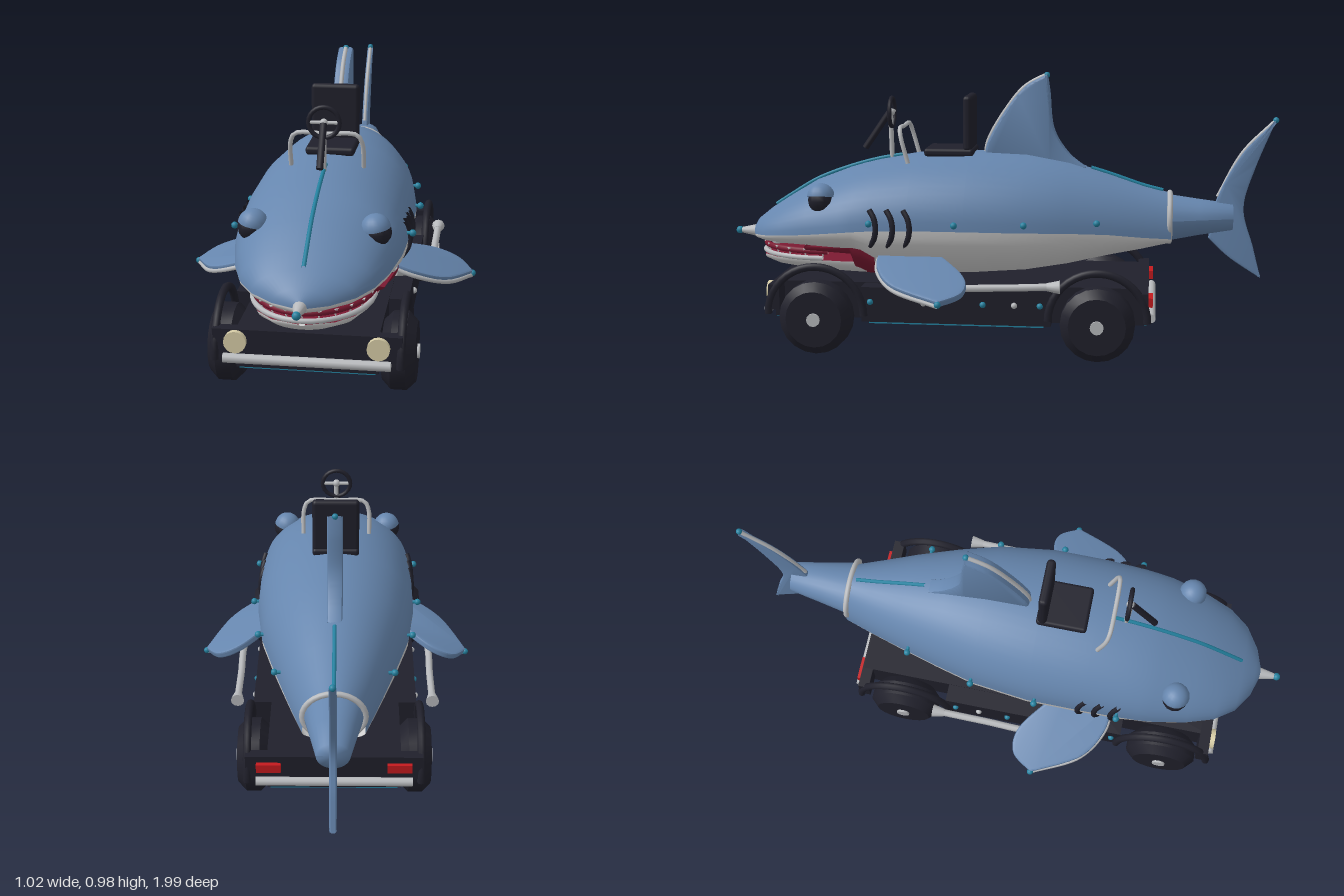
import * as THREE from 'three';
import { toCreasedNormals } from 'three/addons/utils/BufferGeometryUtils.js';
import { RoundedBoxGeometry } from 'three/addons/geometries/RoundedBoxGeometry.js';

const mat = (name, color) => {
  const m = new THREE.MeshStandardMaterial({ color, side: THREE.DoubleSide });
  m.name = name;
  return m;
};

// Body stations: z, half width, top, colour seam, bottom
const BODY = [
  [0.925, 0.012, 0.4, 0.38, 0.365], [0.9, 0.09, 0.435, 0.385, 0.36], [0.85, 0.165, 0.475, 0.395, 0.355],
  [0.78, 0.215, 0.52, 0.405, 0.35], [0.68, 0.25, 0.58, 0.415, 0.345], [0.55, 0.278, 0.63, 0.43, 0.335],
  [0.5, 0.283, 0.645, 0.435, 0.33], [0.44, 0.287, 0.66, 0.44, 0.25], [0.3, 0.291, 0.685, 0.445, 0.245],
  [0.1, 0.29, 0.695, 0.445, 0.25], [-0.1, 0.265, 0.687, 0.44, 0.265], [-0.25, 0.225, 0.66, 0.435, 0.29],
  [-0.4, 0.18, 0.615, 0.425, 0.325], [-0.52, 0.14, 0.575, 0.41, 0.35], [-0.62, 0.105, 0.55, 0.4, 0.375],
];
const JAW = [
  [0.88, 0.01, 0.315, 0.31, 0.305], [0.86, 0.1, 0.32, 0.315, 0.285], [0.8, 0.155, 0.32, 0.315, 0.27],
  [0.7, 0.19, 0.32, 0.315, 0.258], [0.55, 0.21, 0.32, 0.315, 0.25], [0.44, 0.215, 0.32, 0.315, 0.245],
];
const GUMS = [
  [0.685, 0.001, 0.37, 0.37, 0.36], [0.68, 0.236, 0.375, 0.37, 0.335], [0.51, 0.262, 0.38, 0.375, 0.322],
  [0.5, 0.262, 0.38, 0.375, 0.25], [0.47, 0.262, 0.38, 0.37, 0.243], [0.42, 0.255, 0.38, 0.34, 0.243],
];
const TAIL = [
  [-0.61, 0.1, 0.545, 0.462, 0.378], [-0.72, 0.078, 0.53, 0.465, 0.4],
  [-0.84, 0.055, 0.515, 0.468, 0.42], [-0.842, 0.001, 0.469, 0.468, 0.467],
];

// Skin through half or whole elliptical sections, front to back
function loft(stations, a0, a1, n = 24) {
  const pos = [], idx = [];
  stations.forEach(([z, w, top, mid, bottom], i) => {
    for (let j = 0; j <= n; j++) {
      const a = a0 + (a1 - a0) * j / n, s = Math.sin(a);
      pos.push(w * Math.cos(a), mid + s * (s > 0 ? top - mid : mid - bottom), z);
      if (i && j) {
        const d = i * (n + 1) + j, b = d - n - 1;
        idx.push(b - 1, d - 1, b, b, d - 1, d);
      }
    }
  });
  const g = new THREE.BufferGeometry();
  g.setAttribute('position', new THREE.Float32BufferAttribute(pos, 3));
  g.setIndex(idx);
  g.computeVertexNormals();
  return g;
}

// Body half width and top at a given z
function bodyAt(z) {
  const i = Math.max(1, BODY.findIndex(s => s[0] <= z)), a = BODY[i - 1], b = BODY[i];
  const t = (z - a[0]) / (b[0] - a[0]);
  return a.map((v, k) => v + (b[k] - v) * t);
}

export function createModel() {
  const blue = mat('skin blue', 0x6686ae), white = mat('belly white', 0xd2d2d2), silver = mat('silver', 0xb8babd);
  const black = mat('dark rubber', 0x20202b), red = mat('mouth red', 0x7c1a32), lamp = mat('tail lamp red', 0xc41a1e);
  const cream = mat('headlight cream', 0xd6cca6), teal = mat('teal trim', 0x2482a0);
  const model = new THREE.Group();
  const add = (name, geo, m, x = 0, y = 0, z = 0) => {
    const mesh = new THREE.Mesh(geo, m);
    mesh.name = name;
    mesh.position.set(x, y, z);
    model.add(mesh);
    return mesh;
  };
  const box = (name, m, w, h, d, x, y, z) => add(name, new THREE.BoxGeometry(w, h, d), m, x, y, z);
  const ball = (name, m, r, x, y, z) => add(name, new THREE.SphereGeometry(r, 12, 8), m, x, y, z);
  const tube = (name, m, r, pts) => add(name, new THREE.TubeGeometry(
    new THREE.CatmullRomCurve3(pts.map(p => new THREE.Vector3(...p))), 24, r, 8), m);
  const rod = (name, m, r, a, b) => {
    const p = new THREE.Vector3(...a), q = new THREE.Vector3(...b), d = q.clone().sub(p);
    const mesh = add(name, new THREE.CylinderGeometry(r, r, d.length(), 10), m);
    mesh.position.copy(p).add(q).multiplyScalar(0.5);
    mesh.quaternion.setFromUnitVectors(new THREE.Vector3(0, 1, 0), d.normalize());
  };
  // Rounded plate from smooth edge runs joined at sharp corners
  const plate = (runs, depth, bevel) => {
    const shape = new THREE.Shape();
    runs.forEach((run, i) => {
      const v = run.map(p => new THREE.Vector2(...p));
      if (!i) shape.moveTo(v[0].x, v[0].y);
      shape.splineThru(v.slice(1));
    });
    const g = new THREE.ExtrudeGeometry(shape, { depth, curveSegments: 8, bevelThickness: bevel, bevelSize: 0.008, bevelOffset: -0.008, bevelSegments: 2 });
    return toCreasedNormals(g.translate(0, 0, -depth / 2), 0.7);
  };

  // Body, mouth and tail stem
  const P = Math.PI;
  add('upperBody', loft(BODY, 0, P), blue);
  add('belly', loft(BODY, P, 2 * P), white);
  add('mouthLining', loft(GUMS, P, 2 * P), red);
  add('lowerJaw', loft(JAW, P, 2 * P), white);
  add('mouthFloor', loft(JAW, 0, P), red);
  add('tailStem', loft(TAIL, 0, 2 * P), blue);
  add('tailCollar', new THREE.TorusGeometry(0.09, 0.01, 8, 28), silver, 0, 0.463, -0.615).scale.set(1.15, 0.98, 1);

  // Lips and teeth
  const arc = (w, y, front, back) => Array.from({ length: 13 }, (_, i) => {
    const a = P * i / 12;
    return [w * Math.cos(a), y, back + (front - back) * Math.sin(a)];
  });
  tube('lowerLip', silver, 0.009, arc(0.2, 0.322, 0.88, 0.62));
  tube('upperGum', red, 0.011, arc(0.2, 0.347, 0.875, 0.6));
  arc(0.198, 0.34, 0.875, 0.62).forEach(([x, y, z]) => {
    add('upperTooth', new THREE.ConeGeometry(0.011, 0.03, 6).rotateX(P), white, x, y, z);
  });

  // Nose and spine trim
  add('noseCone', new THREE.CylinderGeometry(0.011, 0.026, 0.07, 12).rotateX(P / 2), silver, 0, 0.382, 0.94);
  ball('noseTip', teal, 0.014, 0, 0.382, 0.985);
  const spine = zs => zs.map(z => [0, bodyAt(z)[2] + 0.003, z]);
  tube('frontSpine', teal, 0.007, spine([0.84, 0.78, 0.68, 0.55, 0.44, 0.36]));
  tube('rearSpine', teal, 0.007, spine([-0.33, -0.4, -0.52, -0.59]));

  // Dorsal and tail fins
  const lead = [[0.055, 0.67], [0.045, 0.73], [-0.02, 0.845], [-0.09, 0.93], [-0.17, 0.975]];
  add('dorsalFin', plate([lead,
    [[-0.17, 0.975], [-0.18, 0.91], [-0.195, 0.78], [-0.25, 0.69], [-0.32, 0.635]],
    [[-0.32, 0.635], [-0.13, 0.64], [0.055, 0.67]]], 0.03, 0.012).rotateY(-P / 2), blue);
  tube('dorsalTrim', silver, 0.008, lead.map(([z, y]) => [0, y, z]));
  ball('dorsalTip', teal, 0.011, 0, 0.972, -0.168);
  const tailLead = [[-0.755, 0.39], [-0.785, 0.54], [-0.87, 0.7], [-0.985, 0.82]];
  add('tailFin', plate([tailLead,
    [[-0.985, 0.82], [-0.915, 0.645], [-0.878, 0.5], [-0.915, 0.36], [-0.945, 0.245]],
    [[-0.945, 0.245], [-0.83, 0.32], [-0.755, 0.39]]], 0.012, 0.006).rotateY(-P / 2), blue);
  tube('tailTrim', silver, 0.007, tailLead.slice(1).map(([z, y]) => [0, y, z]));
  ball('tailTip', teal, 0.011, 0, 0.818, -0.983);

  // Chassis
  box('chassis', black, 0.46, 0.13, 1.33, 0, 0.18, 0.125);
  box('sidePlatform', black, 0.59, 0.125, 0.67, 0, 0.18, 0.127);
  for (const z of [0.775, -0.525]) box('endBeam', black, 0.61, 0.09, 0.04, 0, 0.2, z);
  rod('frontBumper', silver, 0.016, [-0.27, 0.15, 0.805], [0.27, 0.15, 0.805]);
  rod('rearBumper', silver, 0.016, [-0.27, 0.15, -0.555], [0.27, 0.15, -0.555]);
  for (const z of [0.785, -0.535]) box('underTrim', teal, 0.44, 0.006, 0.008, 0, 0.114, z);

  for (const s of [1, -1]) {
    // Wheels and fenders
    for (const z of [0.625, -0.37]) {
      const profile = [[0.001, -0.055], [0.1, -0.055], [0.13, -0.025], [0.13, 0.025], [0.1, 0.055], [0.001, 0.055]];
      const tyre = new THREE.LatheGeometry(profile.map(p => new THREE.Vector2(...p)), 20).rotateZ(P / 2);
      add('wheel', toCreasedNormals(tyre, 0.5), black, s * 0.285, 0.13, z);
      add('hub', new THREE.CylinderGeometry(0.024, 0.024, 0.016, 12).rotateZ(P / 2), silver, s * 0.34, 0.13, z);
      add('fender', new THREE.TorusGeometry(0.172, 0.014, 8, 20, P).rotateY(P / 2), black, s * 0.3, 0.14, z);
    }
    // Lamps and chassis bolts
    add('headlight', new THREE.CylinderGeometry(0.037, 0.037, 0.025, 16).rotateX(P / 2), cream, s * 0.23, 0.207, 0.8);
    box('tailLamp', lamp, 0.085, 0.032, 0.02, s * 0.225, 0.205, -0.55);
    box('underTrim', teal, 0.008, 0.006, 0.62, s * 0.285, 0.114, 0.127);
    for (const z of [0.43, 0.03, -0.17]) ball('chassisStud', teal, 0.011, s * 0.297, 0.19, z);
    for (const z of [0.24, -0.08]) ball('chassisBolt', silver, 0.011, s * 0.297, 0.19, z);

    // Exhaust pipes
    tube('exhaust', silver, 0.013, [[s * 0.24, 0.3, 0.36], [s * 0.32, 0.275, 0.27], [s * 0.35, 0.262, 0.16], [s * 0.35, 0.265, -0.05], [s * 0.35, 0.272, -0.2]]);
    add('exhaustTip', new THREE.CylinderGeometry(0.014, 0.024, 0.045, 12).rotateX(P / 2), silver, s * 0.35, 0.272, -0.22);

    // Eyes
    ball('eye', black, 0.046, s * 0.206, 0.535, 0.622);
    const lid = add('eyelid', new THREE.SphereGeometry(0.05, 16, 8, 0, 2 * P, 0, P / 2), blue, s * 0.2, 0.545, 0.622);
    lid.rotation.z = s * 0.2;

    // Gills and side studs
    for (const z of [0.42, 0.36, 0.3]) {
      tube('gill', black, 0.01, [[s * 0.266, 0.385, z + 0.012], [s * 0.287, 0.415, z - 0.006], [s * 0.291, 0.45, z - 0.012],
        [s * 0.286, 0.485, z - 0.006], [s * 0.276, 0.515, z + 0.012]]);
    }
    for (const z of [0.43, 0.13, -0.11, -0.36]) {
      const x = bodyAt(z)[1];
      rod('studStem', teal, 0.006, [s * (x - 0.02), 0.47, z], [s * (x + 0.014), 0.47, z]);
      ball('sideStud', teal, 0.012, s * (x + 0.016), 0.47, z);
    }

    // Pectoral fins
    const rim = [[0, 0.41], [0.1, 0.4], [0.21, 0.33], [0.3, 0.16]];
    const back = [[0.3, 0.16], [0.24, 0.083], [0.14, 0.09], [0, 0.2]];
    const side = pts => pts.map(([u, z]) => [s * u, z]);
    const fin = add('pectoralFin', plate([side(rim), side(back), side([[0, 0.2], [0, 0.41]])], 0.012, 0.007).rotateX(P / 2), blue, s * 0.22, 0.348, 0);
    const trim = tube('pectoralTrim', silver, 0.008, rim.map(([u, z]) => [s * u, -0.006, z]));
    trim.position.copy(fin.position);
    fin.rotation.z = trim.rotation.z = -s * 0.39;
    ball('pectoralTip', teal, 0.012, s * 0.498, 0.235, 0.158);
  }

  // Seat
  add('seatBase', new RoundedBoxGeometry(0.17, 0.03, 0.18, 2, 0.012), black, 0, 0.695, 0.18);
  add('seatBack', new RoundedBoxGeometry(0.17, 0.2, 0.032, 2, 0.014), black, 0, 0.8, 0.112);

  // Steering and grab bar
  rod('steeringColumn', black, 0.012, [0, 0.7, 0.5], [0, 0.83, 0.41]);
  rod('steeringPost', silver, 0.009, [0, 0.65, 0.4], [0, 0.83, 0.405]);
  add('steeringWheel', new THREE.TorusGeometry(0.052, 0.008, 8, 24), black, 0, 0.832, 0.4);
  rod('wheelSpoke', silver, 0.006, [-0.05, 0.832, 0.4], [0.05, 0.832, 0.4]);
  ball('wheelHub', silver, 0.014, 0, 0.832, 0.402);
  tube('grabBar', silver, 0.008, [[-0.125, 0.66, 0.32], [-0.122, 0.75, 0.345], [-0.105, 0.78, 0.352], [0, 0.782, 0.355],
    [0.105, 0.78, 0.352], [0.122, 0.75, 0.345], [0.125, 0.66, 0.32]]);
  return model;
}
